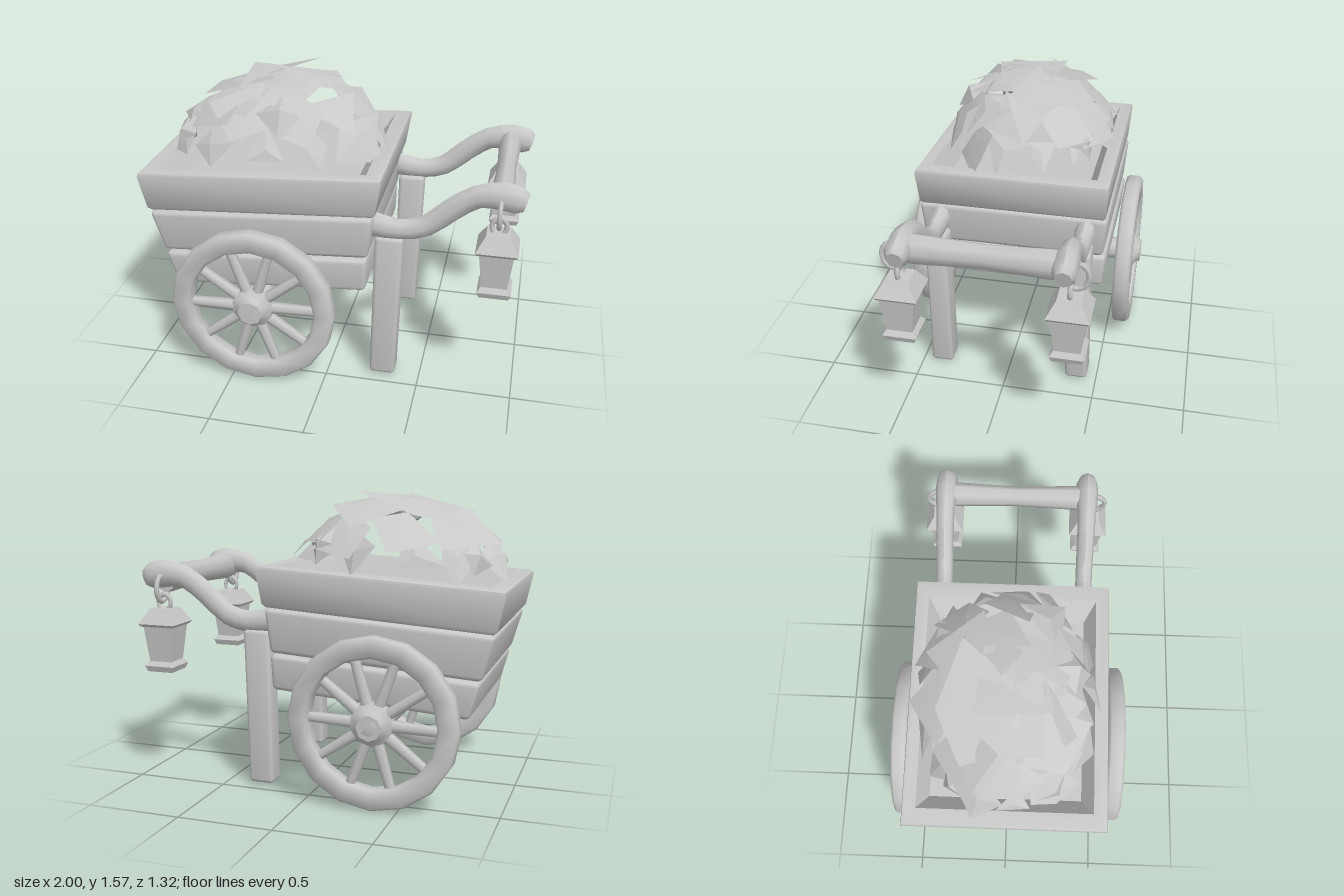
import * as THREE from 'three';
import { toCreasedNormals } from 'three/addons/utils/BufferGeometryUtils.js';
import { RoundedBoxGeometry } from 'three/addons/geometries/RoundedBoxGeometry.js';

const stone = new THREE.MeshStandardMaterial({ color: 0xc8c8c8 });
stone.name = 'plain grey';
const mix = THREE.MathUtils.lerp;

function add(parent, name, geo, x = 0, y = 0, z = 0) {
  const m = new THREE.Mesh(geo, stone);
  m.name = name;
  m.position.set(x, y, z);
  parent.add(m);
  return m;
}

// Apply a rule to every vertex, then rebuild normals with sharp edges kept
function warp(geo, rule, crease = 0.7) {
  const p = geo.attributes.position, v = new THREE.Vector3();
  for (let i = 0; i < p.count; i++) {
    rule(v.fromBufferAttribute(p, i));
    p.setXYZ(i, v.x, v.y, v.z);
  }
  return toCreasedNormals(geo, crease);
}

// Fit a w by h by d solid to a side outline [bottom-left, bottom-right, top-right, top-left] and two half depths
function fit(geo, w, h, d, [bl, br, tr, tl], zLow, zHigh) {
  return warp(geo, (v) => {
    const a = v.x / w + 0.5, b = v.y / h + 0.5;
    v.set(
      mix(mix(bl[0], br[0], a), mix(tl[0], tr[0], a), b),
      mix(mix(bl[1], br[1], a), mix(tl[1], tr[1], a), b),
      v.z / d * 2 * mix(zLow, zHigh, b));
  });
}

// Bevelled block
function block(corners, zLow, zHigh, bevel) {
  const w = corners[1][0] - corners[0][0], h = corners[2][1] - corners[1][1], d = zHigh * 2;
  return fit(new RoundedBoxGeometry(w, h, d, 2, bevel), w, h, d, corners, zLow, zHigh);
}

// Shallow tray with a wide rim and sloping inner walls
function tray(corners, zLow, zHigh) {
  const section = [[0, -0.5], [0.975, -0.5], [1, -0.42], [1, 0.4], [0.99, 0.47], [0.965, 0.5], [0.86, 0.5], [0.76, 0], [0, 0]];
  const geo = new THREE.LatheGeometry(section.map(([x, y]) => new THREE.Vector2(x * Math.SQRT2, y)), 4);
  return fit(geo.rotateY(Math.PI / 4), 2, 1, 2, corners, zLow, zHigh);
}

// Bent log along points in the xy plane, each [x, y, radius]
function log(points, depth = 1) {
  const curve = new THREE.CatmullRomCurve3(points.map(([x, y]) => new THREE.Vector3(x, y, 0)));
  const n = points.length - 1;
  return warp(new THREE.CylinderGeometry(1, 1, 1, 8, n * 2), (v) => {
    const t = Math.min(Math.max(v.y + 0.5, 0), 1);
    const i = Math.min(Math.floor(t * n), n - 1);
    const r = mix(points[i][2], points[i + 1][2], t * n - i);
    const c = curve.getPoint(t), d = curve.getTangent(t);
    v.set(c.x + d.y * v.x * r, c.y - d.x * v.x * r, v.z * r * depth);
  }, 0.95);
}

function makeWheel(side) {
  const g = new THREE.Group();
  g.name = 'wheel';
  // Rim with chamfered edges
  const rim = [[0.335, -0.03], [0.35, -0.045], [0.43, -0.045], [0.443, -0.03], [0.443, 0.03],
    [0.43, 0.045], [0.35, 0.045], [0.335, 0.03], [0.335, -0.03]].map(([x, y]) => new THREE.Vector2(x, y));
  add(g, 'rim', toCreasedNormals(new THREE.LatheGeometry(rim, 16), 0.9)).rotation.x = Math.PI / 2;
  // Hub and cap
  const hub = [[0, -0.06], [0.08, -0.06], [0.11, -0.03], [0.11, 0.03], [0.075, 0.05],
    [0.065, 0.065], [0.045, 0.075], [0, 0.075]].map(([x, y]) => new THREE.Vector2(x, y));
  add(g, 'hub', toCreasedNormals(new THREE.LatheGeometry(hub, 10), 0.7)).rotation.x = side * Math.PI / 2;
  for (let i = 0; i < 10; i++) {
    const a = i * Math.PI / 5 + 0.03;
    const s = add(g, 'spoke', new THREE.CylinderGeometry(0.026, 0.032, 0.28, 6),
      Math.cos(a) * 0.22, Math.sin(a) * 0.22, 0);
    s.rotation.z = a - Math.PI / 2;
  }
  return g;
}

// Square tapered section: half widths above and below
function frustum(top, bottom, h) {
  const geo = new THREE.CylinderGeometry(top * Math.SQRT2, bottom * Math.SQRT2, h, 4);
  geo.rotateY(Math.PI / 4);
  return toCreasedNormals(geo, 0.4);
}

function makeLantern(side) {
  const g = new THREE.Group();
  g.name = 'lantern';
  add(g, 'roof', frustum(0.068, 0.106, 0.065), 0, 0.893, 0);
  add(g, 'roofTop', frustum(0.06, 0.068, 0.015), 0, 0.933, 0);
  add(g, 'eave', frustum(0.106, 0.095, 0.015), 0, 0.853, 0);
  add(g, 'body', frustum(0.086, 0.064, 0.2), 0, 0.745, 0);
  add(g, 'base', frustum(0.068, 0.086, 0.025), 0, 0.64, 0);
  add(g, 'foot', frustum(0.086, 0.074, 0.032), 0, 0.612, 0);
  // Chain links
  const link = add(g, 'lowerLink', new THREE.TorusGeometry(0.038, 0.013, 6, 10), 0, 0.97, 0);
  link.scale.y = 1.2;
  const hook = add(g, 'upperLink', new THREE.TorusGeometry(0.058, 0.014, 6, 12), 0, 1.05, side * 0.025);
  hook.rotation.y = Math.PI / 2;
  hook.scale.y = 1.2;
  return g;
}

// Heap of loose outward-facing shards laid over a dome
function makeHeap() {
  const g = new THREE.Group();
  g.name = 'heap';
  let seed = 11;
  const rnd = () => (seed = (seed * 16807) % 2147483647) / 2147483647;
  const normal = new THREE.Vector3(), forward = new THREE.Vector3(0, 0, 1);

  // Put a piece on the dome at u, w on a unit disc, tipped off the surface by a random amount
  function lay(name, geo, u, w, tilt) {
    const h = Math.sqrt(Math.max(0, 1 - u * u - w * w));
    const m = add(g, name, geo, -0.36 + u * 0.56, 1.15 + u * 0.03 + h * 0.38, w * 0.44);
    normal.set(u / 0.56 + (rnd() - 0.5) * tilt, h / 0.38 + 0.3, w / 0.44 + (rnd() - 0.5) * tilt).normalize();
    m.quaternion.setFromUnitVectors(forward, normal);
    return m;
  }

  // Uneven plate with a slightly raised middle
  function plate(size, sides) {
    const skew = rnd() * 6, squash = 0.75 + rnd() * 0.3;
    return warp(new THREE.CircleGeometry(size, sides, rnd() * 6).toNonIndexed(), (v) => {
      const k = 0.95 + 0.25 * Math.sin(Math.atan2(v.y, v.x) * 3 + skew);
      v.set(v.x * k, v.y * k * squash, v.length() < 0.01 ? 0.015 : 0);
    }, 0.2);
  }

  // Upper shards: u, w, size, sides
  const shards = [
    [-0.25, -0.3, 0.3, 5], [-0.4, 0, 0.25, 4], [0.05, 0.05, 0.25, 4], [-0.3, 0.35, 0.23, 4],
    [0.2, -0.4, 0.24, 4], [0.38, -0.05, 0.22, 4], [0.1, 0.45, 0.2, 4], [-0.58, -0.45, 0.2, 4],
    [-0.52, 0.5, 0.21, 4], [-0.18, 0.72, 0.19, 4], [0.35, 0.65, 0.18, 4], [0.62, 0.42, 0.16, 3],
    [0.66, -0.5, 0.17, 4], [0.35, -0.78, 0.18, 4], [-0.12, -0.75, 0.21, 4], [-0.8, -0.15, 0.18, 4],
    [-0.8, 0.22, 0.16, 3], [0.78, 0.02, 0.18, 4],
  ];
  for (const [u, w, size, sides] of shards) lay('shard', plate(size, sides), u, w, 0.8);

  // Steep shards standing round the foot of the heap
  for (let i = 0; i < 13; i++) {
    const a = i * Math.PI * 2 / 13 + rnd() * 0.2;
    lay('footShard', plate(0.12 + rnd() * 0.04, 3 + i % 3), Math.cos(a) * 0.95, Math.sin(a) * 0.95, 1.2);
  }

  // Faceted lumps, flattened against the heap
  for (const [u, w, r] of [[0.16, 0.7, 0.125], [-0.8, 0.5, 0.1], [0.6, -0.72, 0.12], [-0.78, -0.55, 0.1]]) {
    lay('lump', toCreasedNormals(new THREE.OctahedronGeometry(r), 0.1), u, w, 0.2).scale.z = 0.5;
  }
  return g;
}

export function createModel() {
  const model = new THREE.Group();
  model.name = 'handcart';

  // Box in three tapered tiers, the top one hollowed
  const box = new THREE.Group();
  box.name = 'cartBox';
  add(box, 'topTier', tray([[-0.955, 0.905], [0.255, 0.985], [0.29, 1.2], [-1, 1.12]], 0.497, 0.512));
  add(box, 'middleTier', block([[-0.885, 0.67], [0.22, 0.745], [0.245, 0.98], [-0.95, 0.9]], 0.49, 0.508, 0.025));
  add(box, 'bottomTier', block([[-0.83, 0.475], [0.21, 0.55], [0.215, 0.74], [-0.88, 0.665]], 0.49, 0.505, 0.025));
  model.add(box, makeHeap());

  // Axle and wheels
  add(model, 'axle', new THREE.CylinderGeometry(0.066, 0.066, 1.32, 8), -0.37, 0.44, 0).rotation.x = Math.PI / 2;
  for (const s of [1, -1]) {
    const wheel = makeWheel(s);
    wheel.position.set(-0.37, 0.445, s * 0.585);
    model.add(wheel);

    // Leg, handle arm and lantern
    add(model, 'leg', block([[0.23, 0.015], [0.367, 0.015], [0.393, 0.85], [0.247, 0.85]], 0.062, 0.056, 0.02), 0, 0, s * 0.387);
    add(model, 'handleArm', log([[0.23, 0.905, 0.07], [0.37, 0.888, 0.058], [0.5, 0.92, 0.058], [0.62, 1.02, 0.06],
      [0.75, 1.11, 0.062], [0.88, 1.125, 0.078], [0.955, 1.11, 0.074], [0.988, 1.1, 0.052]], 0.8), 0, 0, s * 0.393);
    const lantern = makeLantern(s);
    lantern.position.set(0.87, 0, s * 0.415);
    model.add(lantern);
  }

  // Crossbar, thinner at its middle
  const bar = log([[0, -0.4, 0.075], [0, -0.31, 0.076], [0, 0, 0.062], [0, 0.31, 0.076], [0, 0.4, 0.075]], 1.05);
  bar.rotateX(Math.PI / 2);
  add(model, 'crossbar', bar, 0.87, 1.1, 0).scale.x = 0.8;
  return model;
}
